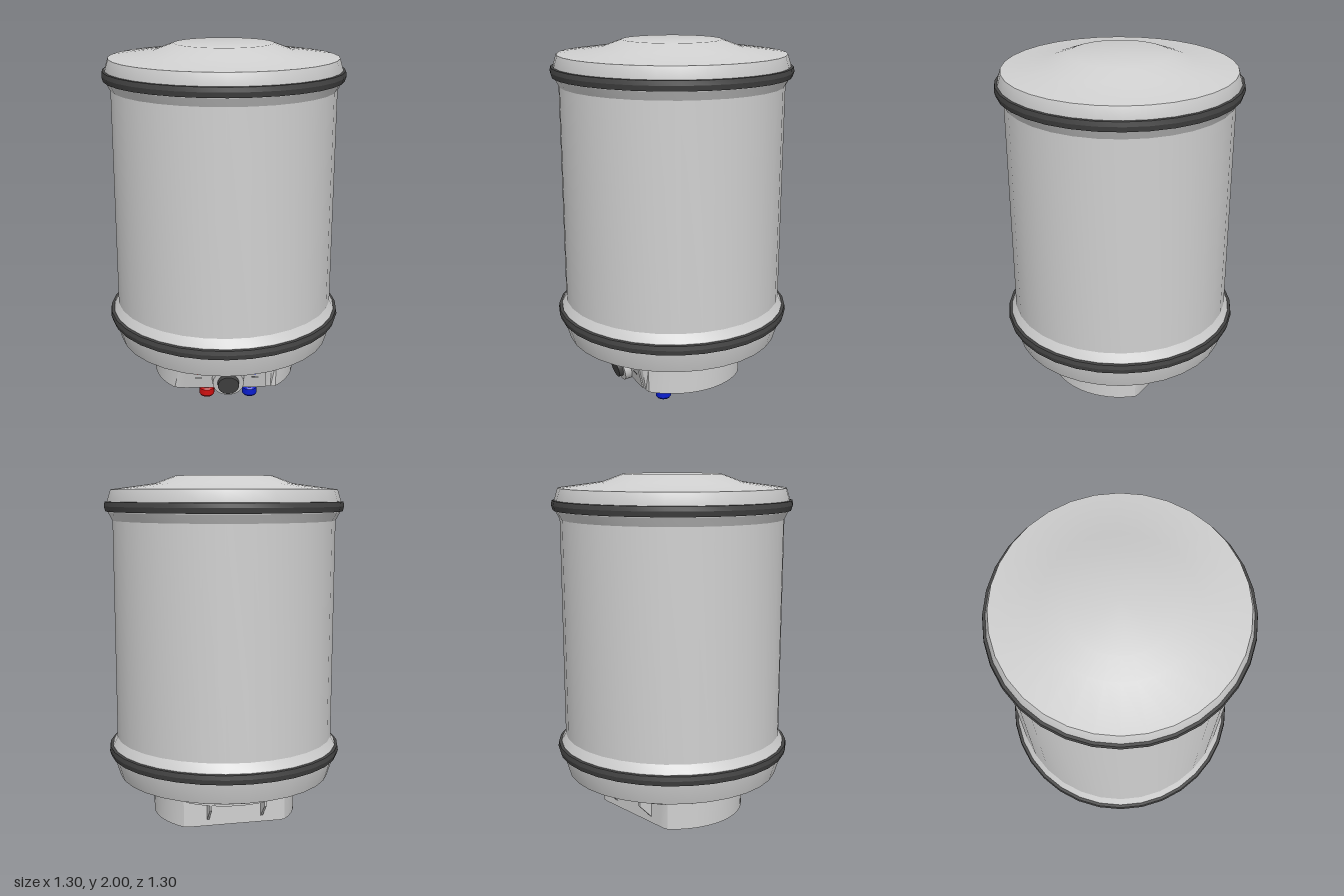
import * as THREE from 'three';
import { toCreasedNormals } from 'three/addons/utils/BufferGeometryUtils.js';

const mat = (name, color, side = THREE.FrontSide) => {
  const m = new THREE.MeshStandardMaterial({ color, side });
  m.name = name;
  return m;
};

export function createModel() {
  const shell = mat('shell grey', 0xd0d0d0);
  const dark = mat('band charcoal', 0x444444);
  const red = mat('hot red', 0xd01010);
  const blue = mat('cold blue', 0x0a1ed0);

  const model = new THREE.Group();
  model.name = 'waterHeater';
  const add = (name, geo, material, x = 0, y = 0, z = 0, parent = model) => {
    const mesh = new THREE.Mesh(geo, material);
    mesh.name = name;
    mesh.position.set(x, y, z);
    parent.add(mesh);
    return mesh;
  };
  const lathe = (pts) => toCreasedNormals(
    new THREE.LatheGeometry(pts.map(([r, y]) => new THREE.Vector2(r, y)), 32), 0.4);

  // Tank with flared shoulders and a shallow domed lid
  add('tank', lathe([
    [0, 0.32], [0.5, 0.32], [0.59, 0.355], [0.625, 0.47], [0.628, 0.53], [0.604, 0.575],
    [0.604, 1.765], [0.628, 1.81], [0.63, 1.87], [0.612, 1.928],
    [0.375, 1.96], [0.265, 2.0], [0, 2.0],
  ]), shell);

  // Two rubber bands
  for (const [name, y] of [['lowerBand', 0.5], ['upperBand', 1.84]]) {
    add(name, lathe([
      [0.6, y - 0.027], [0.64, y - 0.027], [0.648, y], [0.644, y + 0.024], [0.6, y + 0.027],
    ]), dark);
  }

  // Base drum: full collar on top, lower part flattened at front and back
  add('baseCollar', new THREE.CylinderGeometry(0.4, 0.4, 0.05, 48), shell, 0, 0.297, 0);
  const frontZ = (y) => 0.303 + (y - 0.2) * 0.23;
  const drum = new THREE.CylinderGeometry(0.4, 0.4, 0.142, 64);
  drum.translate(0, 0.201, 0);
  const p = drum.attributes.position;
  for (let i = 0; i < p.count; i++) {
    p.setZ(i, Math.max(-0.29, Math.min(frontZ(p.getY(i)), p.getZ(i))));
  }
  add('baseDrum', toCreasedNormals(drum, 0.4), shell);

  // Triangular gussets in the rear recess
  const tri = new THREE.Shape([[0.285, 0.275], [0.285, 0.16], [0.37, 0.245], [0.37, 0.275]]
    .map(([z, y]) => new THREE.Vector2(z, y)));
  for (const s of [-1, 1]) {
    const geo = new THREE.ExtrudeGeometry(tri, { depth: 0.012, bevelEnabled: false });
    geo.translate(0, 0, -0.006);
    geo.rotateY(Math.PI / 2);
    add(s > 0 ? 'leftGusset' : 'rightGusset', geo, shell, s * 0.15, 0, 0);
  }

  // Tilted control panel with dial and indicator lamps
  const panel = new THREE.Group();
  panel.name = 'controlPanel';
  panel.position.set(0, 0.2, 0.303);
  panel.rotation.x = 0.226;
  model.add(panel);
  add('panelPlate', new THREE.BoxGeometry(0.45, 0.14, 0.008), shell, 0, 0, 0.002, panel);
  const disc = (r0, r1, h) => new THREE.CylinderGeometry(r0, r1, h, 32).rotateX(Math.PI / 2);
  add('dialRing', disc(0.086, 0.09, 0.045), shell, 0.015, -0.005, 0.022, panel);
  add('dialKnob', disc(0.058, 0.06, 0.026), dark, 0.015, -0.005, 0.056, panel);
  add('hotLamp', new THREE.BoxGeometry(0.014, 0.014, 0.008), red, -0.15, 0.03, 0.005, panel);
  add('coldLamp', new THREE.BoxGeometry(0.018, 0.014, 0.008), blue, 0.16, 0.03, 0.005, panel);
  for (const x of [-0.15, 0.165]) {
    add('lampMark', new THREE.BoxGeometry(0.04, 0.006, 0.004), dark, x, 0.002, 0.006, panel);
  }

  // Water pipes with coloured nuts and dark sockets
  for (const [name, x, color] of [['hot', -0.102, red], ['cold', 0.145, blue]]) {
    add(name + 'Socket', new THREE.BoxGeometry(0.1, 0.006, 0.1), dark, x, 0.129, 0.127);
    add(name + 'Pipe', new THREE.CylinderGeometry(0.032, 0.032, 0.1, 24), shell, x, 0.09, 0.127);
    add(name + 'Nut', lathe([
      [0, 0], [0.036, 0], [0.043, 0.01], [0.043, 0.046], [0.036, 0.056], [0, 0.056],
    ]), color, x, 0, 0.127);
  }

  // Relief valve on the cold pipe
  add('reliefValve', new THREE.CylinderGeometry(0.019, 0.019, 0.045, 20).rotateZ(Math.PI / 2),
    blue, 0.187, 0.095, 0.127);

  return model;
}
